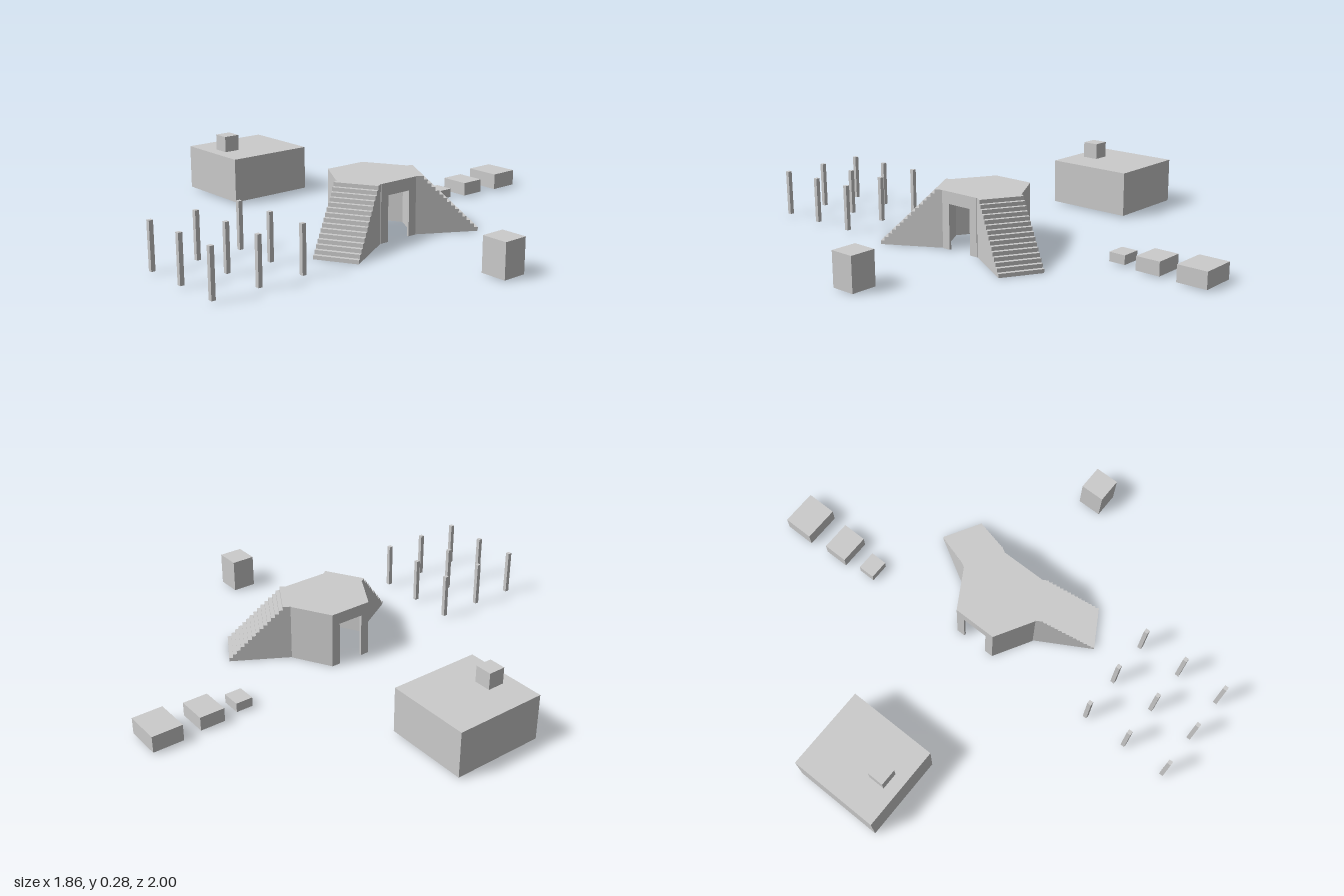
import * as THREE from 'three';

const material = new THREE.MeshStandardMaterial({ color: 0xcccccc, flatShading: true, side: THREE.DoubleSide });

function add(parent, geometry, name) {
  const mesh = new THREE.Mesh(geometry, material);
  mesh.name = name;
  parent.add(mesh);
  return mesh;
}

// Box given by its limits on each axis
function block(parent, name, [x0, x1], [y0, y1], [z0, z1]) {
  const mesh = add(parent, new THREE.BoxGeometry(x1 - x0, y1 - y0, z1 - z0), name);
  mesh.position.set((x0 + x1) / 2, (y0 + y1) / 2, (z0 + z1) / 2);
  return mesh;
}

const polygon = points => new THREE.Shape(points.map(([x, y]) => new THREE.Vector2(x, y)));
const extrude = (points, depth) =>
  new THREE.ExtrudeGeometry(polygon(points), { depth, bevelEnabled: false });

const HEIGHT = 0.25, APOTHEM = 0.167, THICK = 0.01;
const RADIUS = APOTHEM / Math.cos(Math.PI / 6);

// One wall of the hexagon, facing local +z, with an optional doorway
function wallPanel(hasDoor) {
  const w = RADIUS / 2, h = HEIGHT - THICK, d = 0.058, dh = 0.197;
  const door = hasDoor ? [[d, 0], [d, dh], [-d, dh], [-d, 0]] : [];
  const outline = [[-w, h], [-w, 0], ...door.reverse(), [w, 0], [w, h]];
  return extrude(outline, THICK).translate(0, 0, APOTHEM - THICK);
}

// Hollow staircase descending along local +z
function staircase() {
  const group = new THREE.Group();
  group.name = 'staircase';
  const steps = 15, rise = HEIGHT / steps, landing = 0.033, tread = 0.017;
  const width = 0.188, side = 0.005, slab = 0.012;
  const end = landing + (steps - 1) * tread;
  const stepped = [[0, HEIGHT]];
  for (let i = 0; i < steps; i++) {
    const d = landing + i * tread;
    stepped.push([d, HEIGHT - i * rise], [d, HEIGHT - (i + 1) * rise]);
  }
  const across = (points, from, to) =>
    extrude(points, to - from).rotateY(-Math.PI / 2).translate(to, 0, APOTHEM)
      .translate(0, 0, 0);
  // Steps with a sloping underside
  const flight = [...stepped, [end - slab, 0], [landing - slab, HEIGHT - rise], [0, HEIGHT - rise]];
  add(group, across(flight, -width / 2 + side, width / 2 - side), 'steps');
  // Side walls reaching the ground
  const wall = [...stepped, [0, 0]];
  add(group, across(wall, -width / 2, -width / 2 + side), 'stairSideWall');
  add(group, across(wall, width / 2 - side, width / 2), 'stairSideWall');
  return group;
}

export function createModel() {
  const model = new THREE.Group();
  model.name = 'obstacleCourse';

  // Hexagonal shelter with two doorways and two staircases
  const shelter = new THREE.Group();
  shelter.name = 'hexagonalShelter';
  shelter.position.set(0.141, 0, 0.012);
  for (let i = 0; i < 6; i++) {
    const angle = Math.PI / 6 + i * Math.PI / 3;
    add(shelter, wallPanel(i === 1 || i === 4), 'shelterWall').rotation.y = angle;
    if (i === 0 || i === 2) {
      const stairs = staircase();
      stairs.rotation.y = angle;
      shelter.add(stairs);
    }
  }
  add(shelter, new THREE.CylinderGeometry(RADIUS, RADIUS, THICK, 6), 'shelterRoof')
    .position.y = HEIGHT - THICK / 2;
  model.add(shelter);

  // Large platform with a small block on it
  block(model, 'largePlatform', [-0.933, -0.562], [0.008, 0.208], [-0.19, 0.212]);
  block(model, 'smallBlock', [-0.79, -0.716], [0.208, 0.28], [0.083, 0.157]);

  // Lone block on the left
  block(model, 'loneBlock', [0.818, 0.931], [0.003, 0.15], [-0.042, 0.066]);

  // Row of three growing blocks at the back
  block(model, 'rowBlockLarge', [-0.115, 0.044], [0.005, 0.077], [-1, -0.866]);
  block(model, 'rowBlockMedium', [-0.1, 0.032], [0.005, 0.065], [-0.782, -0.672]);
  block(model, 'rowBlockSmall', [-0.078, 0.008], [0.006, 0.046], [-0.603, -0.528]);

  // Grid of posts at the front
  const posts = new THREE.Group();
  posts.name = 'posts';
  for (const x of [0.012, 0.212, 0.412])
    for (const z of [0.591, 0.791, 0.991])
      block(posts, 'post', [x - 0.009, x + 0.009], [0.008, 0.208], [z - 0.009, z + 0.009]);
  model.add(posts);

  return model;
}
